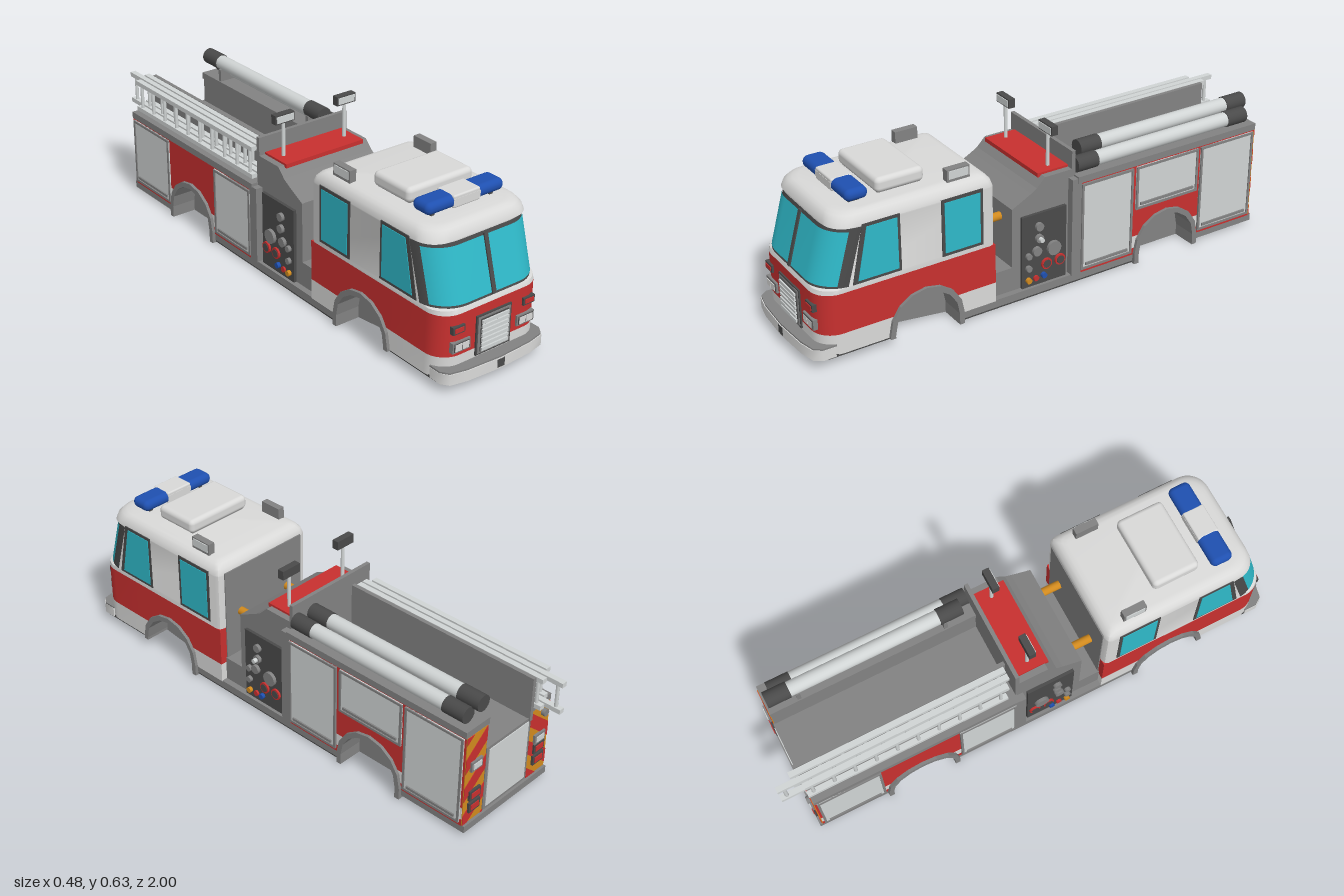
import * as THREE from 'three';
import { toCreasedNormals } from 'three/addons/utils/BufferGeometryUtils.js';
import { RoundedBoxGeometry } from 'three/addons/geometries/RoundedBoxGeometry.js';

const mat = (name, color) => {
  const m = new THREE.MeshStandardMaterial({ color });
  m.name = name;
  return m;
};

export function createModel() {
  const white = mat('white', 0xd9d9d8), light = mat('lightGrey', 0xd0d4d4), red = mat('red', 0xc8302f);
  const grey = mat('grey', 0x828282), dark = mat('darkGrey', 0x4a4a4a);
  const glass = mat('glass', 0x2fb9c9), blue = mat('blue', 0x1f50b0), orange = mat('orange', 0xd18a1e);
  const root = new THREE.Group();
  root.name = 'fireEngine';

  const add = (name, geo, m) => {
    const mesh = new THREE.Mesh(geo, m);
    mesh.name = name;
    root.add(mesh);
    return mesh;
  };
  const box = (name, m, x0, x1, y0, y1, z0, z1) => add(name, new THREE.BoxGeometry(Math.abs(x1 - x0), y1 - y0, Math.abs(z1 - z0))
    .translate((x0 + x1) / 2, (y0 + y1) / 2, (z0 + z1) / 2), m);
  const rounded = (name, m, w, h, d, r, x, y, z) => add(name, new RoundedBoxGeometry(w, h, d, 4, r).translate(x, y, z), m);
  const outline = pts => new THREE.Shape(pts.map(p => new THREE.Vector2(p[0], p[1])));
  // Outline in (z, y), extruded between two x positions
  const side = (name, m, pts, x0, x1) => {
    const lo = Math.min(x0, x1), hi = Math.max(x0, x1);
    const geo = new THREE.ExtrudeGeometry(outline(pts), { depth: hi - lo, bevelEnabled: false });
    return add(name, geo.rotateY(-Math.PI / 2).translate(hi, 0, 0), m);
  };
  const rod = (name, m, r, len, axis, x, y, z, seg = 16) => {
    const g = new THREE.CylinderGeometry(r, r, len, seg);
    if (axis === 'x') g.rotateZ(Math.PI / 2);
    if (axis === 'z') g.rotateX(Math.PI / 2);
    return add(name, g.translate(x, y, z), m);
  };

  // Front curve of the cab in plan, from +x to -x, starting at angle a0 of the corner
  const nose = (y, hw, zf, r, a0 = 0) => [1, -1].flatMap(s => Array.from({ length: 9 }, (_, i) => {
    const a = a0 + (Math.PI / 2 - a0) * (s > 0 ? i : 8 - i) / 8;
    return [s * (hw - r + r * Math.cos(a)), y, zf - r + r * Math.sin(a)];
  }));
  const plan = (y, hw, zf, zb, r) => [...nose(y, hw, zf, r),
    [-hw, y, zb + 0.02], [0.006 - hw, y, zb + 0.006], [0.02 - hw, y, zb],
    [hw - 0.02, y, zb], [hw - 0.006, y, zb + 0.006], [hw, y, zb + 0.02]];
  const loft = (name, m, rings, closed = true) => {
    const n = rings[0].length, pos = rings.flat(2), idx = [];
    for (let i = 0; i + 1 < rings.length; i++) for (let j = 0; j < (closed ? n : n - 1); j++) {
      const a = i * n + j, b = i * n + (j + 1) % n;
      idx.push(a, a + n, b, b, a + n, b + n);
    }
    if (closed) {
      const top = (rings.length - 1) * n;
      for (let j = 1; j + 1 < n; j++) idx.push(0, j, j + 1, top, top + j + 1, top + j);
    }
    const geo = new THREE.BufferGeometry();
    geo.setAttribute('position', new THREE.Float32BufferAttribute(pos, 3));
    geo.setIndex(idx);
    return add(name, toCreasedNormals(geo, 0.75), m);
  };

  // Wheel arch outline and the body bands cut by it
  const CY = 0.045;
  const arch = (c, r, a0, a1) => Array.from({ length: 9 }, (_, i) => {
    const a = a0 + (a1 - a0) * i / 8;
    return [c + r * Math.cos(a), CY + r * Math.sin(a)];
  });
  const band = (name, m, y0, y1, zFront, zBack, c, x0, x1) => {
    const r = 0.135, ang = y => Math.asin(Math.min(1, Math.max(0, (y - CY) / r)));
    if (y1 >= CY + r) {
      const a = ang(y0);
      side(name, m, [[zFront, y0], ...arch(c, r, a, Math.PI - a), [zBack, y0], [zBack, y1], [zFront, y1]], x0, x1);
    } else {
      side(name, m, [[zFront, y0], [zFront, y1], ...arch(c, r, ang(y1), ang(y0)), [c + r, y0]], x0, x1);
      side(name, m, [[zBack, y0], [zBack, y1], ...arch(c, r, Math.PI - ang(y1), Math.PI - ang(y0)), [c - r, y0]], x0, x1);
    }
  };

  // Cab
  const W = 0.225, R = 0.08, RG = 0.11, B = 0.265, F = 0.55;
  const front = y => 0.95 - Math.max(0, y - 0.27) * 0.283;
  const base = y => [...nose(y, W, 0.95, R), [-W, y, 0.685], [W, y, 0.685]];
  loft('cabNoseBase', white, [base(0.037), base(0.115)]);
  loft('cabNoseStripe', red, [base(0.115), base(0.27)]);
  loft('cabUpper', white, [[0.27, 0, R], [0.286, 0, R], [0.29, 0, RG], [0.498, 0, RG], [0.502, 0, R], [0.523, 0.006, R],
    [0.538, 0.018, R], [0.545, 0.03, R], [0.548, 0.045, R]]
    .map(([y, d, r]) => plan(y, W - d, front(Math.min(y, 0.5)) - d, B + d, r)));
  box('cabCore', grey, -0.12, 0.12, 0.037, 0.27, 0.69, B + 0.002);
  box('cabBackPanel', grey, -0.195, 0.195, 0.04, 0.505, B - 0.004, B + 0.01);
  for (const s of [1, -1]) {
    band('cabSideBase', white, 0.037, 0.115, 0.69, B, F, s * 0.12, s * W);
    band('cabSideStripe', red, 0.115, 0.27, 0.69, B, F, s * 0.12, s * W);
    const win = (t, b, o, m, x) => side('sideWindow', m, [[b, 0.295 - o], [t, 0.5 + o], [0.645 - o, 0.5 + o], [0.645 - o, 0.295 - o]], s * 0.22, s * x);
    win(0.78, 0.825, 0.006, dark, 0.2275);
    win(0.765, 0.805, -0.005, glass, 0.2295);
    box('rearWindowFrame', dark, s * 0.22, s * 0.2275, 0.288, 0.506, 0.48, 0.315);
    box('rearWindow', glass, s * 0.22, s * 0.2295, 0.3, 0.494, 0.468, 0.327);
    // Headlights and indicators
    box('headlightFrame', grey, s * 0.104, s * 0.181, 0.133, 0.172, 0.9, 0.958);
    box('headlightRim', dark, s * 0.11, s * 0.175, 0.138, 0.167, 0.9, 0.96);
    for (const x of [0.113, 0.144]) box('headlight', white, s * x, s * (x + 0.028), 0.14, 0.165, 0.9, 0.962);
    box('indicatorFrame', dark, s * 0.13, s * 0.181, 0.203, 0.231, 0.9, 0.958);
    box('indicator', red, s * 0.136, s * 0.175, 0.209, 0.225, 0.9, 0.961);
    // Roof speakers facing outwards
    box('roofSpeaker', grey, s * 0.165, s * 0.192, 0.53, 0.592, 0.345, 0.435);
    box('speakerFace', light, s * 0.19, s * 0.195, 0.557, 0.587, 0.352, 0.428);
    box('lightBarFoot', dark, s * 0.12, s * 0.135, 0.54, 0.57, 0.74, 0.78);
  }
  const shield = (name, m, o, y0, y1, a0) => loft(name, m, [y0, y1].map(y => nose(y, W + o, front(y) + o, RG + o, a0)), false);
  shield('windshieldFrame', dark, 0.0025, 0.29, 0.5, 0.06);
  shield('windshield', glass, 0.005, 0.299, 0.488, 0.42);
  const divider = box('windshieldDivider', dark, -0.008, 0.008, -0.104, 0.104, -0.006, 0.006);
  divider.position.set(0, 0.394, front(0.394) + 0.004);
  divider.rotation.x = -0.275;

  // Grille
  box('grilleRim', dark, -0.077, 0.077, 0.087, 0.236, 0.9, 0.956);
  box('grilleFrame', grey, -0.071, 0.071, 0.093, 0.23, 0.9, 0.958);
  box('grilleBack', dark, -0.061, 0.061, 0.1, 0.223, 0.9, 0.96);
  for (let i = 0; i < 7; i++) box('grilleSlat', light, -0.059, 0.059, 0.103 + i * 0.0172, 0.115 + i * 0.0172, 0.95, 0.966);

  // Bumper
  const bump = (y, d = 0) => {
    const p = [[0.225, 0.9], [0.225, 0.95], [0.205, 0.978], [0.14, 0.992], [0, 1], [-0.14, 0.992], [-0.205, 0.978], [-0.225, 0.95], [-0.225, 0.9]];
    return p.map(([x, z]) => [x * (1 - d), y, z - d]);
  };
  loft('bumper', white, [bump(0.034), bump(0.074)]);
  loft('bumperTread', grey, [bump(0.074, 0.003), bump(0.08, 0.003)]);
  box('bumperHook', dark, -0.016, 0.016, 0.039, 0.071, 0.98, 1);

  // Roof equipment
  rounded('roofUnit', white, 0.285, 0.055, 0.185, 0.018, 0, 0.577, 0.585);
  rounded('roofUnitBase', grey, 0.26, 0.02, 0.165, 0.005, 0, 0.551, 0.585);
  rounded('lightBar', blue, 0.336, 0.044, 0.085, 0.021, 0, 0.582, 0.76);
  box('lightBarCentre', white, -0.058, 0.058, 0.571, 0.593, 0.717, 0.803);
  rounded('lightBarCentreShell', white, 0.116, 0.046, 0.084, 0.006, 0, 0.582, 0.76);

  // Underbody
  side('chassis', dark, [[0.93, 0.03], [0.69, 0.034], [0.41, 0], [-0.63, 0], [-0.63, 0.04], [0.93, 0.04]], -0.135, 0.135);
  box('frontFloor', dark, -0.222, 0.222, 0.03, 0.04, 0.93, 0.69);
  box('middleFloor', dark, -0.222, 0.222, 0.003, 0.012, 0.41, -0.35);
  box('runningBoard', grey, -0.224, 0.224, 0.01, 0.04, 0.41, -0.35);
  box('tailFloor', grey, -0.224, 0.224, 0.012, 0.04, -0.63, -0.918);
  for (const [c, toe] of [[F, 0.034], [-0.49, 0]]) for (const s of [1, -1]) {
    side('wheelArch', grey, [[c + 0.148, toe], ...arch(c, 0.148, 0, Math.PI), [c - 0.148, 0], [c - 0.128, 0],
      ...arch(c, 0.128, Math.PI, 0), [c + 0.128, toe]], s * 0.136, s * 0.237);
    side('wheelWellWall', grey, [[c + 0.14, toe], ...arch(c, 0.14, 0, Math.PI), [c - 0.14, 0]], s * 0.115, s * 0.137);
  }

  // Pump house
  box('pumpStep', grey, -0.2, 0.2, 0.03, 0.135, B, 0.17);
  side('pumpHouse', grey, [[0.18, 0.035], [0.18, 0.37], [0.1, 0.41], [0.075, 0.425], [0.04, 0.46], [-0.09, 0.46], [-0.09, 0.035]], -0.2, 0.2);
  box('pumpDeck', red, -0.175, 0.175, 0.452, 0.468, 0.055, -0.075);
  const dials = [[0.075, 0.28, 0.016, grey], [0.075, 0.232, 0.016, grey], [0.012, 0.175, 0.028, grey], [0.085, 0.182, 0.018, grey],
    [0.042, 0.118, 0.022, red], [-0.016, 0.118, 0.022, red], [0.12, 0.17, 0.012, grey], [0.12, 0.12, 0.012, grey],
    [0.12, 0.07, 0.011, orange], [0.087, 0.07, 0.011, red], [0.055, 0.074, 0.011, blue]];
  for (const s of [1, -1]) {
    rod('waterPipe', orange, 0.016, 0.1, 'z', s * 0.12, 0.312, 0.22);
    box('controlPanel', dark, s * 0.19, s * 0.212, 0.04, 0.33, 0.145, -0.045);
    for (const [z, y, r, m] of dials) {
      const reach = m === red ? 0.22 : 0.225;
      rod('dial', m, r, reach - 0.2, 'x', s * (reach + 0.2) / 2, y, z);
      if (m === red && r > 0.015) rod('dialCentre', dark, r * 0.72, 0.004, 'x', s * reach, y, z);
    }
    box('bodyPost', grey, s * 0.15, s * 0.228, 0.037, s > 0 ? 0.43 : 0.34, -0.06, -0.1);
    // Scene lights
    rod('sceneLightPole', light, 0.007, 0.15, 'y', s * 0.138, 0.535, -0.012);
    box('sceneLight', dark, s * 0.097, s * 0.18, 0.6, 0.635, 0, -0.026);
    box('sceneLightLens', light, s * 0.102, s * 0.175, 0.605, 0.63, 0, 0.003);
  }
  rod('valveHandle', light, 0.009, 0.02, 'x', 0.23, 0.232, 0.075);

  // Rear body
  const A = -0.085, Z = -0.905, C = -0.49;
  box('hoseBedFloor', grey, -0.125, 0.125, 0.035, 0.31, A, Z);
  box('hoseBedFrontWall', grey, -0.2, 0.2, 0.3, 0.53, -0.075, -0.09);
  box('hoseBedLeftWall', grey, -0.12, -0.105, 0.3, 0.478, A, -0.915);
  box('rearDoorFrame', grey, -0.118, 0.118, 0.042, 0.312, Z, -0.91);
  box('rearDoor', light, -0.105, 0.105, 0.055, 0.3, Z, -0.913);
  const door = (s, z0, z1, y0, y1) => {
    const t = 0.009;
    box('lockerShutter', light, s * 0.22, s * 0.229, y0, y1, z0, z1);
    for (const z of [z0, z1 + t]) box('lockerFrame', grey, s * 0.22, s * 0.233, y0, y1, z, z - t);
    for (const y of [y0, y1 - t]) box('lockerFrame', grey, s * 0.22, s * 0.233, y, y + t, z0, z1);
    box('lockerHandle', grey, s * 0.22, s * 0.235, y0 + 0.016, y0 + 0.026, z0 - 0.02, z1 + 0.02);
  };
  // Keeps the part of a polygon above (k = 1) or below (k = -1) a height
  const cut = (pts, y, k) => pts.flatMap((p, i) => {
    const q = pts[(i + 1) % pts.length], dp = k * (p[1] - y), dq = k * (q[1] - y), t = dp / (dp - dq);
    const cross = dp * dq < 0 ? [[p[0] + (q[0] - p[0]) * t, y]] : [];
    return dp >= 0 ? [p, ...cross] : cross;
  });
  for (const s of [1, -1]) {
    const h = s > 0 ? 0.41 : 0.325;
    band('bodyLower', red, 0.037, 0.065, A, Z, C, s * 0.12, s * W);
    band('bodyStripe', white, 0.065, 0.115, A, Z, C, s * 0.12, s * W);
    band('bodySide', red, 0.115, h, A, Z, C, s * 0.12, s * W);
    box('bodyTopTrim', grey, s * 0.11, s * 0.229, h, h + 0.026, A, Z - 0.002);
    box('bodyInnerWall', grey, s * 0.115, s * 0.125, 0.04, h, A, Z);
    door(s, -0.1, -0.33, 0.05, h - 0.006);
    door(s, -0.645, -0.897, 0.05, h - 0.006);
    if (s > 0) door(s, -0.345, -0.632, 0.228, h - 0.006);

    // Rear chevrons, rising towards the centre
    box('chevronPanel', orange, s * 0.12, s * 0.224, 0.04, h, Z, Z - 0.003);
    for (let y = h - 0.51; y < h; y += 0.12) {
      const stripe = cut(cut([[s * 0.224, y], [s * 0.12, y + 0.09], [s * 0.12, y + 0.15], [s * 0.224, y + 0.06]], 0.04, 1), h, -1);
      if (stripe.length > 2) add('chevronStripe', new THREE.ExtrudeGeometry(outline(stripe), { depth: 0.002, bevelEnabled: false }).translate(0, 0, Z - 0.005), red);
    }
    // Tail lights
    for (const [y, lens] of [[0.085, red], [0.135, red], [h - 0.15, light]]) {
      box('tailLightFrame', lens === red ? dark : grey, s * 0.145, s * 0.202, y, y + 0.04, Z, Z - 0.012);
      box('tailLight', lens, s * 0.153, s * 0.194, y + 0.009, y + 0.031, Z, Z - 0.015);
    }
  }
  rod('rearMarker', grey, 0.014, 0.02, 'z', -0.19, 0.295, Z - 0.008);

  // Suction hoses on the left shelf
  for (const [x, y, z0, z1] of [[0.185, 0.467, -0.095, -0.875], [0.142, 0.505, -0.135, -0.9]]) {
    rod('suctionHose', light, 0.028, z0 - z1 - 0.02, 'z', x, y, (z0 + z1) / 2, 20);
    for (const z of [z0 - 0.045, z1 + 0.045]) rod('hoseCoupling', dark, 0.031, 0.09, 'z', x, y, z, 20);
  }
  for (const z of [-0.2, -0.78]) box('hoseCradle', grey, 0.115, 0.18, 0.43, 0.485, z, z - 0.015);

  // Ladders on the right shelf
  for (const [x, z0, z1] of [[-0.192, -0.12, -0.91], [-0.162, -0.1, -1], [-0.133, -0.1, -0.94]]) {
    for (const y of [0.35, 0.46]) box('ladderRail', light, x - 0.011, x + 0.011, y, y + 0.018, z0, z1);
    for (let i = 0; i < 10; i++) rod('ladderRung', light, 0.007, 0.11, 'y', x, 0.414, z0 - 0.025 + (z1 - z0 + 0.05) * i / 9, 8);
  }
  for (const z of [-0.2, -0.8]) box('ladderBracket', grey, -0.2, -0.11, 0.34, 0.353, z, z - 0.02);

  return root;
}
